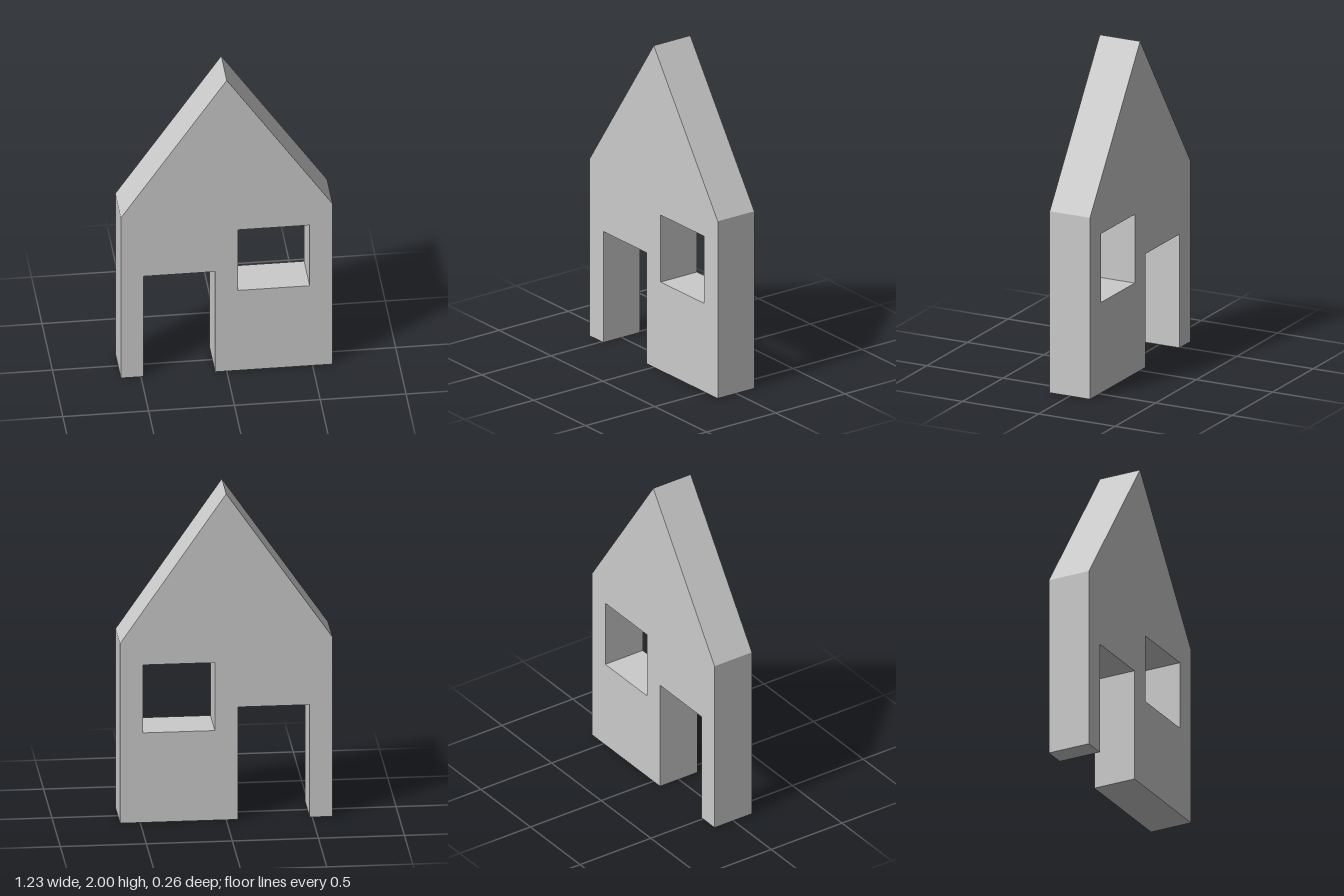
import * as THREE from 'three';

const HALF_WIDTH = 0.617, EAVES = 1.102, RIDGE = 2, DEPTH = 0.264;
const DOOR = { left: -0.485, right: -0.068, top: 0.69 };
const WINDOW = { left: 0.066, right: 0.483, bottom: 0.55, top: 0.967 };

const points = (list) => list.map(([x, y]) => new THREE.Vector2(x, y));

export function createModel() {
  const group = new THREE.Group();
  group.name = 'houseFront';

  // Gabled outline, with the doorway notched into the bottom edge
  const outline = new THREE.Shape(points([
    [-HALF_WIDTH, 0], [DOOR.left, 0], [DOOR.left, DOOR.top],
    [DOOR.right, DOOR.top], [DOOR.right, 0], [HALF_WIDTH, 0],
    [HALF_WIDTH, EAVES], [0, RIDGE], [-HALF_WIDTH, EAVES],
  ]));

  // Square window opening
  outline.holes.push(new THREE.Path(points([
    [WINDOW.left, WINDOW.bottom], [WINDOW.left, WINDOW.top],
    [WINDOW.right, WINDOW.top], [WINDOW.right, WINDOW.bottom],
  ])));

  // Solid wall, centred front to back
  const geometry = new THREE.ExtrudeGeometry(outline, { depth: DEPTH, bevelEnabled: false });
  geometry.translate(0, 0, -DEPTH / 2);
  const wall = new THREE.Mesh(
    geometry,
    new THREE.MeshStandardMaterial({ color: 0xcccccc, flatShading: true }),
  );
  wall.name = 'gabledWall';
  group.add(wall);

  return group;
}
